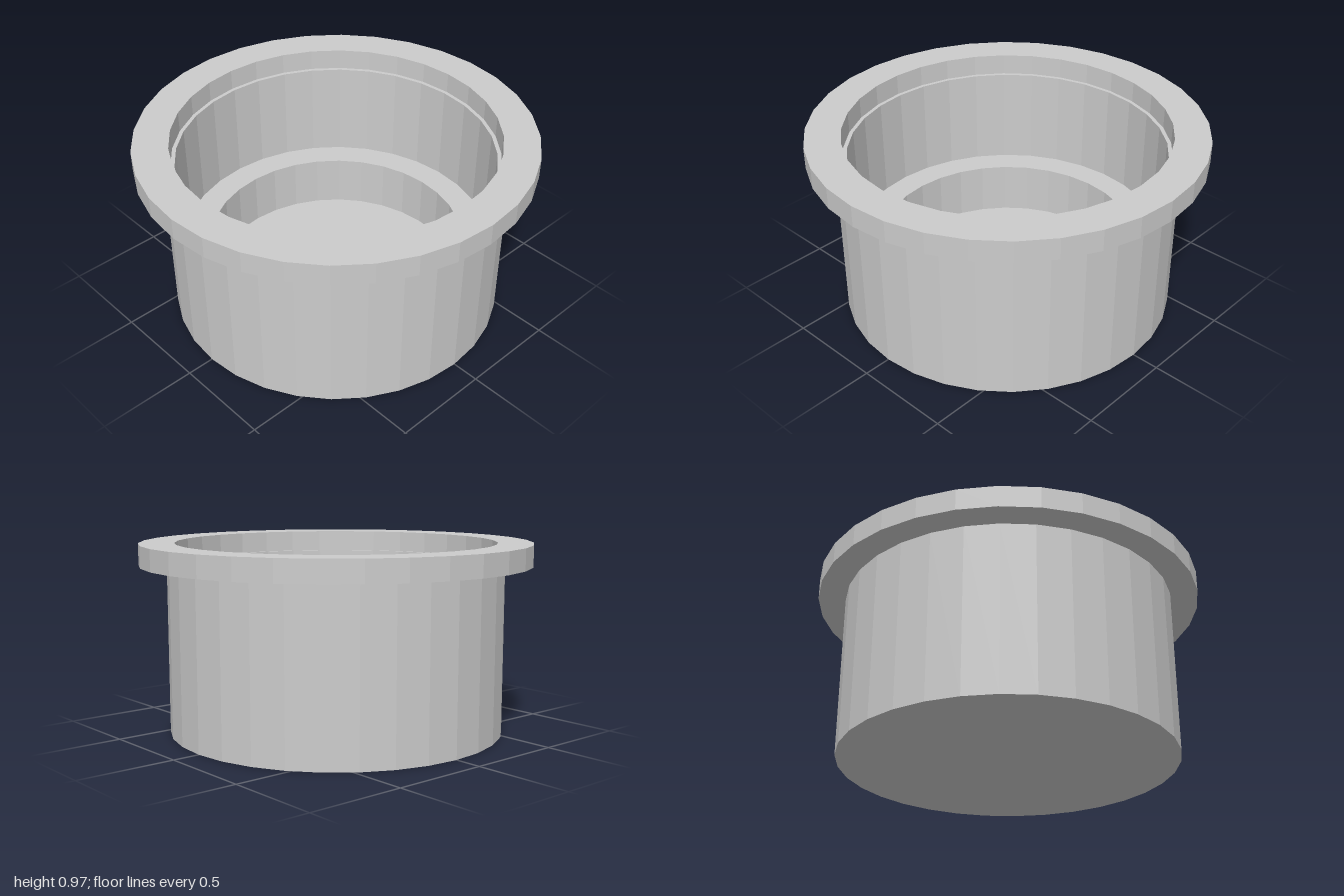
import * as THREE from 'three';

const SIDES = 32;

export function createModel() {
  const group = new THREE.Group();
  const material = new THREE.MeshStandardMaterial({ color: 0xcccccc, flatShading: true });

  // Revolves a [radius, height] profile around the vertical axis
  const addLathe = (name, profile) => {
    const points = profile.map(([r, y]) => new THREE.Vector2(r, y));
    const mesh = new THREE.Mesh(new THREE.LatheGeometry(points, SIDES), material);
    mesh.name = name;
    group.add(mesh);
  };

  const top = 0.97, shoulder = 0.86, ledge = 0.34, floor = 0.06;
  const outer = 0.86, mouth = 0.82, bore = 0.8, recess = 0.66;

  // Closed bottom and outer wall
  addLathe('cupBody', [[0, 0], [outer, 0], [outer, shoulder]]);

  // Wide flange around the mouth
  addLathe('rimFlange', [[outer, shoulder], [1, shoulder], [1, top], [mouth, top], [mouth, shoulder]]);

  // Inside wall, from the small step under the flange to the ledge
  addLathe('innerWall', [[mouth, shoulder], [bore, shoulder], [bore, ledge]]);

  // Ledge and the narrower well below it
  addLathe('lowerWell', [[bore, ledge], [recess, ledge], [recess, floor], [0, floor]]);

  return group;
}
